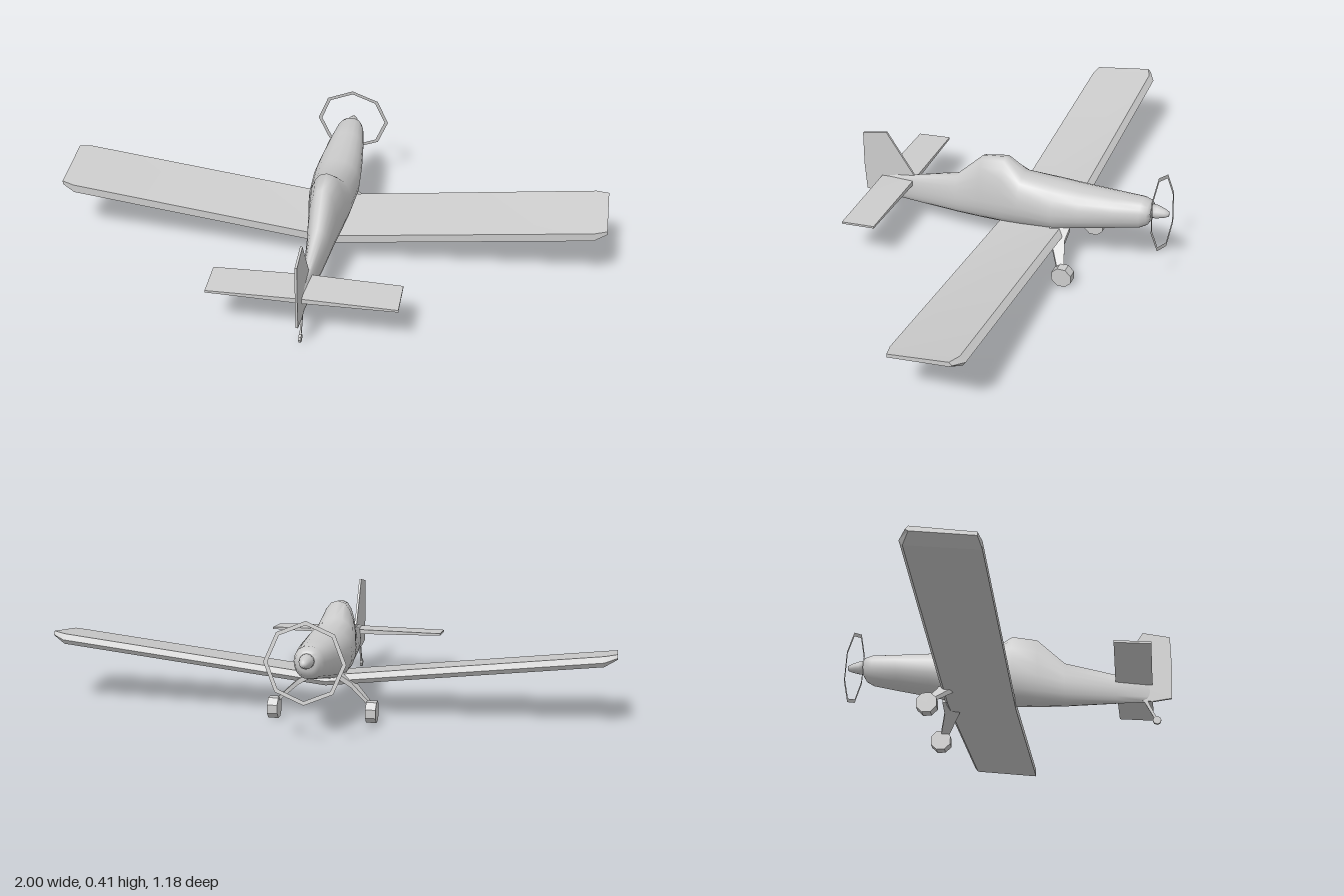
import * as THREE from 'three';
import { toCreasedNormals } from 'three/addons/utils/BufferGeometryUtils.js';

const grey = new THREE.MeshStandardMaterial({ color: 0xcccccc, side: THREE.DoubleSide });

// Skin a list of equal-length rings of [x, y, z] points and cap both ends.
function loft(rings, crease = 0.7) {
  const n = rings[0].length, last = (rings.length - 1) * n, index = [];
  for (let i = 0; i < rings.length - 1; i++) {
    for (let j = 0; j < n; j++) {
      const k = (j + 1) % n, a = i * n + j, b = i * n + k;
      index.push(a, b, b + n, a, b + n, a + n);
    }
  }
  for (let j = 1; j < n - 1; j++) index.push(0, j + 1, j, last, last + j, last + j + 1);
  const geo = new THREE.BufferGeometry();
  geo.setAttribute('position', new THREE.Float32BufferAttribute(rings.flat(2), 3));
  geo.setIndex(index);
  return toCreasedNormals(geo, crease);
}

// Flat outline of [z, y] points, given a thickness across x.
function plate(points, thickness) {
  const shape = new THREE.Shape(points.map(([z, y]) => new THREE.Vector2(-z, y)));
  const geo = new THREE.ExtrudeGeometry(shape, { depth: thickness, bevelEnabled: false });
  return geo.translate(0, 0, -thickness / 2).rotateY(Math.PI / 2);
}

export function createModel() {
  const model = new THREE.Group();
  const add = (name, geo, parent = model) => {
    const mesh = new THREE.Mesh(geo, grey);
    mesh.name = name;
    parent.add(mesh);
    return mesh;
  };

  // Fuselage stations: z, bottom, top, half width, height of widest point
  const stations = [
    [-0.53, 0.24, 0.303, 0.032, 0.273],
    [-0.52, 0.222, 0.311, 0.043, 0.27],
    [-0.495, 0.206, 0.318, 0.052, 0.265],
    [-0.40, 0.183, 0.313, 0.067, 0.255],
    [-0.28, 0.155, 0.311, 0.081, 0.235],
    [-0.18, 0.128, 0.314, 0.088, 0.22],
    [-0.05, 0.11, 0.32, 0.08, 0.215],
    [0.02, 0.1, 0.37, 0.068, 0.205],
    [0.11, 0.093, 0.355, 0.053, 0.19],
    [0.21, 0.09, 0.255, 0.04, 0.165],
    [0.39, 0.09, 0.203, 0.02, 0.145],
    [0.47, 0.09, 0.19, 0.009, 0.14],
    [0.52, 0.09, 0.18, 0.003, 0.135],
  ];
  const sides = 20;
  add('fuselage', loft(stations.map(([z, bottom, top, w, mid]) =>
    Array.from({ length: sides }, (_, j) => {
      const a = (j / sides) * Math.PI * 2, c = Math.cos(a), s = Math.sin(a);
      const x = w * Math.sign(c) * Math.abs(c) ** 0.85;
      return [x, mid + s * (s > 0 ? top - mid : mid - bottom), z];
    })), 1));

  // Spinner on the nose
  const spinner = new THREE.LatheGeometry(
    [[0, 0], [0.026, 0], [0.024, 0.025], [0.016, 0.052], [0.009, 0.067], [0, 0.068]]
      .map(([r, y]) => new THREE.Vector2(r, y)), 12);
  add('spinner', spinner.rotateX(-Math.PI / 2).translate(0, 0.276, -0.523));

  // Thin eight-sided propeller ring, tilted on the thrust line
  const propeller = add('propellerRing', new THREE.RingGeometry(0.124, 0.138, 8));
  propeller.position.set(0, 0.277, -0.567);
  propeller.rotation.x = 0.155;

  // Wing with dihedral; sections are [z, y] from leading edge over the top
  const section = [[-0.237, 0.048], [-0.217, 0.066], [0.022, 0.03], [0.022, 0], [-0.225, 0.031]];
  const tip = [[-0.21, 0.055], [-0.2, 0.066], [0.012, 0.032], [0.012, 0.019], [-0.2, 0.048]];
  add('wing', loft([-1, -0.955, 0, 0.955, 1].map((x) =>
    (Math.abs(x) === 1 ? tip : section).map(([z, y]) =>
      [x, 0.083 + 0.116 * Math.abs(x) + y, z + 0.008 * (1 - Math.abs(x))])), 0.3));

  // Tailplane, slightly thinner towards the tips
  add('tailplane', loft([-0.33, 0, 0.33].map((x) => {
    const t = x ? 0.004 : 0.009, f = x ? 0.395 : 0.39;
    return [[x, 0.175 - t, f], [x, 0.175 + t, f], [x, 0.163 + t, 0.522], [x, 0.163 - t, 0.522]];
  }), 0.3));

  // Fin and rudder
  add('fin', plate([[0.38, 0.195], [0.39, 0.203], [0.495, 0.364], [0.592, 0.342],
    [0.594, 0.21], [0.588, 0.1], [0.52, 0.091], [0.44, 0.1]], 0.008));

  // Main gear: tapered flat leg and eight-sided wheel on each side
  for (const [side, label] of [[1, 'left'], [-1, 'right']]) {
    const gear = new THREE.Group();
    gear.name = label + 'MainGear';
    gear.scale.x = side;
    const legRing = (x, y, z0, z1, t) =>
      [[x, y - t, z0], [x, y + t, z0], [x, y + t, z1], [x, y - t, z1]];
    add('gearLeg', loft([
      legRing(0.05, 0.155, -0.245, -0.165, 0.01),
      legRing(0.095, 0.126, -0.242, -0.188, 0.01),
      legRing(0.165, 0.064, -0.266, -0.238, 0.008),
    ], 0.3), gear);
    const wheel = new THREE.CylinderGeometry(0.039, 0.039, 0.036, 8);
    wheel.rotateY(Math.PI / 8).rotateZ(Math.PI / 2);
    add('wheel', toCreasedNormals(wheel, 0.3).translate(0.173, 0.041, -0.265), gear);
    model.add(gear);
  }

  // Tail wheel and its strut
  add('tailStrut', plate([[0.488, 0.095], [0.502, 0.095], [0.534, 0.022], [0.526, 0.02]], 0.006));
  const tailWheel = new THREE.CylinderGeometry(0.015, 0.015, 0.009, 8).rotateZ(Math.PI / 2);
  add('tailWheel', toCreasedNormals(tailWheel, 0.3).translate(0, 0.018, 0.532));

  return model;
}
